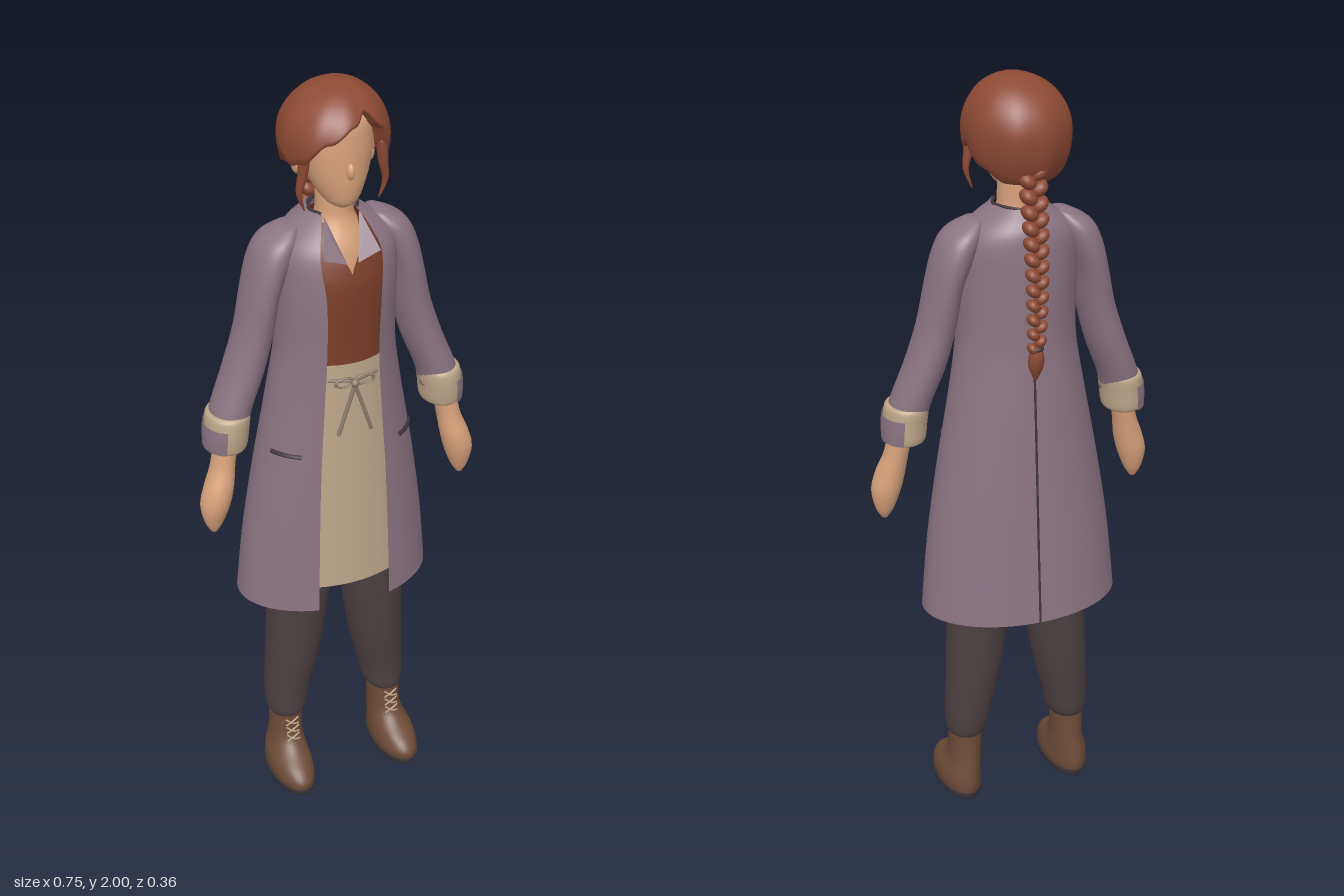
import * as THREE from 'three';
import { mergeVertices } from 'three/addons/utils/BufferGeometryUtils.js';

const mat = (name, color, side = THREE.FrontSide) => {
  const m = new THREE.MeshStandardMaterial({ color, side });
  m.name = name;
  return m;
};

// Surface from a grid of points; u runs counterclockwise seen from above, v runs upward
function grid(fn, nu, nv, caps = false) {
  const pos = [], idx = [], w = nu + 1;
  for (let i = 0; i <= nv; i++) for (let j = 0; j <= nu; j++) pos.push(...fn(j / nu, i / nv));
  for (let i = 0; i < nv; i++) for (let j = 0; j < nu; j++) {
    const a = i * w + j, b = a + w;
    idx.push(a, a + 1, b, a + 1, b + 1, b);
  }
  if (caps) for (const i of [0, nv]) {
    const c = pos.length / 3, p = fn(0, i / nv), q = fn(0.5, i / nv);
    pos.push(...p.map((v, k) => (v + q[k]) / 2));
    for (let j = 0; j < nu; j++) {
      const a = i * w + j;
      idx.push(c, i ? a : a + 1, i ? a + 1 : a);
    }
  }
  const g = new THREE.BufferGeometry();
  g.setAttribute('position', new THREE.Float32BufferAttribute(pos, 3));
  g.setIndex(idx);
  const merged = mergeVertices(g);
  merged.computeVertexNormals();
  return merged;
}

// Smooth value of a row list at v in 0..1
function rowAt(rows, v) {
  const n = rows.length - 1, f = v * n, i = Math.min(Math.floor(f), n - 1), t = f - i;
  const at = k => rows[Math.max(0, Math.min(n, k))];
  return rows[0].map((_, c) => {
    const [a, b, d, e] = [at(i - 1)[c], at(i)[c], at(i + 1)[c], at(i + 2)[c]];
    return b + 0.5 * t * (d - a + t * (2 * a - 5 * b + 4 * d - e + t * (3 * (b - d) + e - a)));
  });
}

// Elliptical rows, bottom to top: [y, centre x, half width, front z, back z, half opening at front]
function loft(rows, { side = 1, range = null, caps = true, nu = 36 } = {}) {
  return grid((u, v) => {
    const [y, cx, rx, zf, zb, open = 0] = rowAt(rows, v);
    const a0 = Math.asin(Math.min(1, Math.max(0, open) / rx));
    const a = range ? range[0] + u * (range[1] - range[0]) : a0 + u * (2 * Math.PI - 2 * a0);
    return [side * cx + rx * Math.sin(a), y, (zf + zb) / 2 + (zf - zb) / 2 * Math.cos(a)];
  }, nu, (rows.length - 1) * 4, caps);
}

const tube = (pts, r, n = 16) => new THREE.TubeGeometry(
  new THREE.CatmullRomCurve3(pts.map(p => new THREE.Vector3(...p))), n, r, 6);

export function createModel() {
  const root = new THREE.Group();
  const coat = mat('mauve coat', 0x8b7582, THREE.DoubleSide), trim = mat('dark seam', 0x41353d);
  const shirt = mat('rust shirt', 0x7d3f2b, THREE.DoubleSide), skin = mat('skin', 0xd9a37c);
  const linen = mat('linen', 0xbfa68a, THREE.DoubleSide), tie = mat('apron tie', 0x8f7f6c);
  const hair = mat('auburn hair', 0x8e4a35, THREE.DoubleSide), cloth = mat('trouser cloth', 0x4b4041);
  const leather = mat('boot leather', 0x6f4c38), sole = mat('sole', 0x3a3335);
  const add = (name, geo, m) => {
    const mesh = new THREE.Mesh(geo, m);
    mesh.name = name;
    root.add(mesh);
    return mesh;
  };

  // Coat body, open down the front
  const coatRows = [
    [0.61, 0, 0.262, 0.158, -0.18, 0.1], [0.8, 0, 0.243, 0.152, -0.165, 0.095],
    [1.0, 0, 0.212, 0.146, -0.15, 0.088], [1.2, 0, 0.175, 0.14, -0.135, 0.076],
    [1.35, 0, 0.152, 0.14, -0.122, 0.068], [1.5, 0, 0.152, 0.146, -0.122, 0.07],
    [1.6, 0, 0.15, 0.13, -0.118, 0.078], [1.65, 0, 0.115, 0.1, -0.108, 0.065],
    [1.69, 0, 0.06, 0.065, -0.075, 0.045]];
  add('coat', loft(coatRows, { caps: false, nu: 56 }), coat);
  add('backSeam', tube(coatRows.slice(0, 5).map(r => [0, r[0], r[4]]), 0.003), trim);
  add('collarEdge', tube([[-0.045, 1.69, 0.04], [-0.06, 1.69, -0.005], [0, 1.69, -0.075],
    [0.06, 1.69, -0.005], [0.045, 1.69, 0.04]], 0.004, 30), trim);

  // Shirt with a V neck, and the neck below it
  add('shirt', loft([[1.2, 0, 0.135, 0.115, -0.1, 0], [1.35, 0, 0.13, 0.118, -0.1, 0],
    [1.5, 0, 0.13, 0.125, -0.1, 0], [1.56, 0, 0.125, 0.118, -0.095, 0],
    [1.62, 0, 0.1, 0.098, -0.085, 0.03], [1.67, 0, 0.06, 0.066, -0.065, 0.042]], { caps: false }), shirt);
  add('neck', loft([[1.5, 0, 0.1, 0.1, -0.08], [1.6, 0, 0.085, 0.09, -0.07],
    [1.67, 0, 0.05, 0.06, -0.045], [1.71, 0, 0.045, 0.055, -0.042], [1.79, 0, 0.045, 0.055, -0.045]]), skin);

  // Apron with waistband and bow
  add('apron', loft([[0.67, 0, 0.22, 0.14, -0.15], [1.0, 0, 0.19, 0.132, -0.13],
    [1.2, 0, 0.16, 0.128, -0.12], [1.325, 0, 0.14, 0.126, -0.11]], { range: [-0.7, 0.7], caps: false }), linen);
  add('waistband', tube([[-0.065, 1.285, 0.118], [0, 1.28, 0.13], [0.065, 1.285, 0.118]], 0.005), tie);
  add('knot', new THREE.SphereGeometry(0.011, 12, 8), tie).position.set(0, 1.275, 0.137);

  for (const s of [1, -1]) {
    const tag = s > 0 ? 'left' : 'right';
    const limb = (name, rows, m, opt = {}) => add(tag + name, loft(rows, { side: s, ...opt }), m);
    const bow = add(tag + 'BowLoop', new THREE.TorusGeometry(0.02, 0.004, 6, 20), tie);
    bow.scale.set(1.2, 0.6, 1);
    bow.position.set(s * 0.026, 1.28, 0.135);
    add(tag + 'BowTail', tube([[0, 1.27, 0.137], [s * 0.02, 1.21, 0.138], [s * 0.044, 1.135, 0.139]], 0.005), tie);

    // Collar flap
    const flap = new THREE.BufferGeometry();
    flap.setAttribute('position', new THREE.Float32BufferAttribute([
      s * 0.045, 1.69, 0.052, s * 0.04, 1.645, 0.09, s * 0.014, 1.59, 0.12,
      s * 0.045, 1.69, 0.052, s * 0.014, 1.59, 0.12, s * 0.072, 1.61, 0.117], 3));
    flap.computeVertexNormals();
    add(tag + 'CollarFlap', flap, coat);

    // Pocket slit following the coat surface
    add(tag + 'Pocket', tube([0.13, 0.15, 0.17, 0.188].map(x =>
      [s * x, 1.075, 0.146 * Math.sqrt(1 - (x / 0.2) ** 2)]), 0.006), trim);

    // Sleeve, rolled cuff and hand
    limb('Sleeve', [[1.15, 0.285, 0.05, 0.075, -0.045], [1.2, 0.277, 0.052, 0.07, -0.05],
      [1.3, 0.238, 0.052, 0.065, -0.06], [1.4, 0.208, 0.048, 0.065, -0.065],
      [1.5, 0.188, 0.045, 0.07, -0.075], [1.58, 0.163, 0.05, 0.07, -0.08],
      [1.63, 0.14, 0.045, 0.06, -0.07], [1.66, 0.112, 0.022, 0.03, -0.04]], coat);
    limb('Cuff', [[1.1, 0.293, 0.045, 0.07, -0.042], [1.11, 0.293, 0.053, 0.076, -0.05],
      [1.15, 0.29, 0.055, 0.08, -0.052], [1.19, 0.285, 0.055, 0.078, -0.053],
      [1.2, 0.282, 0.047, 0.07, -0.046]], linen);
    limb('CuffFold', [[1.105, 0.295, 0.055, 0.078, -0.052], [1.14, 0.293, 0.057, 0.083, -0.055],
      [1.172, 0.29, 0.057, 0.082, -0.055]],
      coat, { range: [s * Math.PI / 2 - 1.25, s * Math.PI / 2 + 1.25], caps: false });
    limb('Hand', [[0.872, 0.343, 0.008, 0.053, 0.035], [0.9, 0.342, 0.024, 0.066, 0.02],
      [0.95, 0.337, 0.038, 0.08, 0.006], [1.0, 0.325, 0.038, 0.08, 0.002],
      [1.06, 0.309, 0.031, 0.066, -0.002], [1.14, 0.295, 0.032, 0.06, -0.01]], skin);

    // Trouser leg
    limb('TrouserLeg', [[0.195, 0.148, 0.047, 0.066, -0.046], [0.215, 0.145, 0.056, 0.07, -0.054],
      [0.27, 0.14, 0.063, 0.07, -0.06], [0.4, 0.122, 0.075, 0.083, -0.07],
      [0.6, 0.104, 0.086, 0.094, -0.075], [0.75, 0.094, 0.09, 0.098, -0.08], [0.95, 0.08, 0.09, 0.095, -0.09]], cloth);

    // Boot, sole and laces
    limb('Boot', [[0.012, 0.157, 0.055, 0.174, -0.055], [0.035, 0.157, 0.058, 0.176, -0.058],
      [0.062, 0.156, 0.055, 0.152, -0.056], [0.09, 0.152, 0.048, 0.105, -0.052],
      [0.12, 0.15, 0.044, 0.076, -0.048], [0.17, 0.148, 0.044, 0.066, -0.045], [0.23, 0.147, 0.045, 0.065, -0.045]], leather);
    limb('Sole', [[0, 0.157, 0.058, 0.176, -0.058], [0.016, 0.157, 0.06, 0.179, -0.06]], sole);
    for (let k = 0; k < 3; k++) for (const d of [1, -1]) {
      const y = 0.115 + k * 0.025, z = 0.078 - k * 0.004, cx = s * 0.149;
      add(tag + 'Lace', tube([[cx - 0.018, y, z - 0.004], [cx, y + d * 0.004 + 0.01, z],
        [cx + 0.018, y + 0.02, z - 0.006]].map(p => [cx + d * (p[0] - cx), p[1], p[2]]), 0.0025, 6), linen);
    }

    // Ear and loose lock
    const ear = add(tag + 'Ear', new THREE.SphereGeometry(1, 16, 12), skin);
    ear.scale.set(0.014, 0.03, 0.02);
    ear.position.set(s * 0.09, 1.815, 0);
    limb('Lock', [[1.715, 0.094, 0.002, 0.056, 0.052], [1.76, 0.108, 0.007, 0.066, 0.048],
      [1.81, 0.1, 0.012, 0.074, 0.046], [1.87, 0.095, 0.014, 0.08, 0.045]], hair, { nu: 12 });
  }
  add('hips', loft([[0.7, 0, 0.1, 0.07, -0.07], [0.8, 0, 0.16, 0.1, -0.1],
    [1.0, 0, 0.16, 0.1, -0.11], [1.25, 0, 0.13, 0.1, -0.1]]), cloth);

  // Head and nose
  add('head', loft([[1.715, 0, 0.018, 0.075, 0.035], [1.73, 0, 0.04, 0.092, 0],
    [1.765, 0, 0.062, 0.1, -0.045], [1.81, 0, 0.079, 0.103, -0.07], [1.87, 0, 0.088, 0.104, -0.085],
    [1.93, 0, 0.08, 0.098, -0.08], [1.97, 0, 0.04, 0.06, -0.05]]), skin);
  const nose = add('nose', new THREE.SphereGeometry(1, 12, 10), skin);
  nose.scale.set(0.01, 0.02, 0.012);
  nose.position.set(0, 1.815, 0.103);

  // Hair cap: [angle from front, hairline height], swept from a parting on the left
  const line = [[-Math.PI, 1.76], [-2.5, 1.765], [-2, 1.8], [-1.57, 1.845], [-1.3, 1.825], [-1, 1.84],
    [-0.5, 1.895], [0, 1.93], [0.35, 1.955], [0.7, 1.91], [1, 1.85], [1.3, 1.825], [1.57, 1.845],
    [2, 1.8], [2.5, 1.765], [Math.PI, 1.76]];
  const hairline = a => {
    const k = Math.max(1, line.findIndex(p => p[0] >= a - 1e-6));
    const [p, q] = [line[k - 1], line[k]], t = (a - p[0]) / (q[0] - p[0]);
    return p[1] + (q[1] - p[1]) * t * t * (3 - 2 * t);
  };
  add('hair', grid((u, v) => {
    const a = (u * 2 - 1) * Math.PI, y0 = hairline(a) - 1.87;
    const end = Math.acos(y0 / (y0 > 0 ? 0.13 : 0.17));
    const t = Math.min(1, (1 - v) * 20 / 18), lip = v < 0.05 ? 0.74 : v < 0.1 ? 0.93 : 1;
    const th = t * end, c = Math.cos(th);
    const r = Math.sin(th) * lip * (1 + 0.012 * t * Math.sin(9 * a + 3 * t));
    return [0.13 * r * Math.sin(a) + 0.015 * (1 - t) ** 2, 1.87 + (c > 0 ? 0.13 : 0.17) * c, 0.142 * r * Math.cos(a)];
  }, 96, 20), hair);

  // Braid of alternating tilted lobes, tie and tail
  const path = new THREE.CatmullRomCurve3([[1.79, -0.105], [1.7, -0.123], [1.6, -0.137], [1.5, -0.144],
    [1.4, -0.142], [1.28, -0.133]].map(([y, z]) => new THREE.Vector3(0, y, z)));
  for (let k = 0; k < 24; k++) {
    const t = k / 23 * 0.84, s = k % 2 ? 1 : -1, r = 0.03 - 0.012 * t;
    const lobe = add('braidLobe', new THREE.SphereGeometry(1, 14, 10), hair);
    lobe.position.copy(path.getPointAt(t)).x = s * r * 0.45;
    lobe.scale.set(r * 0.85, r * 0.62, r * 0.88);
    lobe.rotation.z = s * 0.7;
  }
  add('braidTail', loft([[1.275, 0, 0.003, -0.13, -0.136], [1.31, 0, 0.018, -0.12, -0.152],
    [1.34, 0, 0.019, -0.121, -0.157], [1.365, 0, 0.012, -0.13, -0.152]], { nu: 16 }), hair);
  const band = add('braidTie', new THREE.TorusGeometry(0.013, 0.005, 8, 16), trim);
  band.rotation.x = Math.PI / 2;
  band.position.set(0, 1.362, -0.141);
  return root;
}
